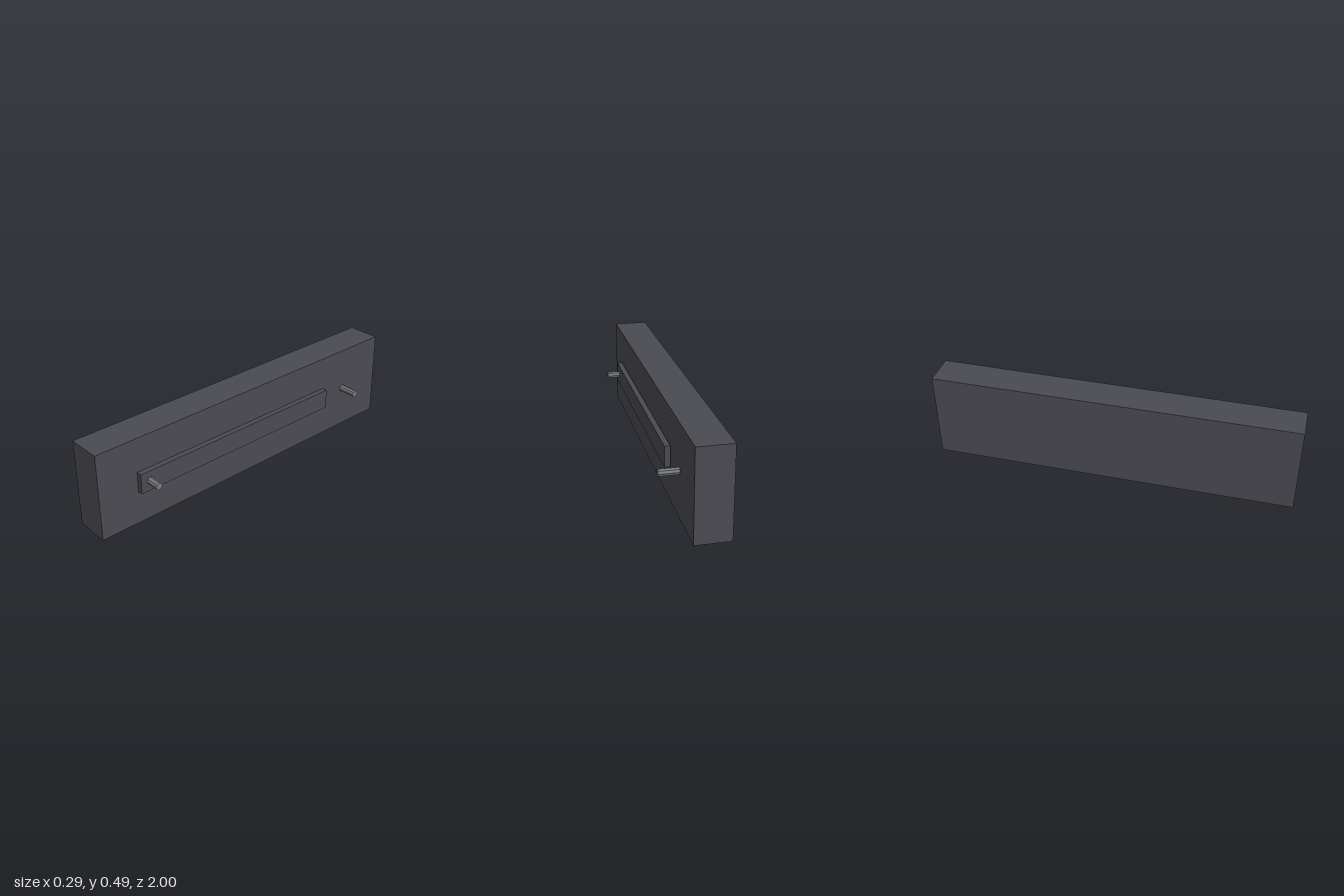
import * as THREE from 'three';

export function createModel() {
  const model = new THREE.Group();
  const dark = new THREE.MeshStandardMaterial({ color: 0x4a4a52, flatShading: true });
  const steel = new THREE.MeshStandardMaterial({ color: 0x767b7d, flatShading: true });

  const add = (name, geometry, material, x, y, z) => {
    const mesh = new THREE.Mesh(geometry, material);
    mesh.name = name;
    mesh.position.set(x, y, z);
    model.add(mesh);
    return mesh;
  };

  // Main slab
  const height = 0.491;
  const midY = height / 2;
  add('body', new THREE.BoxGeometry(0.188, height, 2), dark, -0.053, midY, 0);

  // Thin bar standing just off the slab's left face
  add('bar', new THREE.BoxGeometry(0.03, 0.113, 1.323), dark, 0.06, midY + 0.001, 0.112);

  // Pins near both ends, the front one passing through the bar
  const pinGeometry = new THREE.CylinderGeometry(0.0195, 0.0195, 0.106, 8);
  pinGeometry.rotateZ(-Math.PI / 2);
  for (const [name, z] of [['frontPin', 0.718], ['backPin', -0.718]]) {
    add(name, pinGeometry, steel, 0.094, midY + 0.001, z);
  }

  return model;
}
